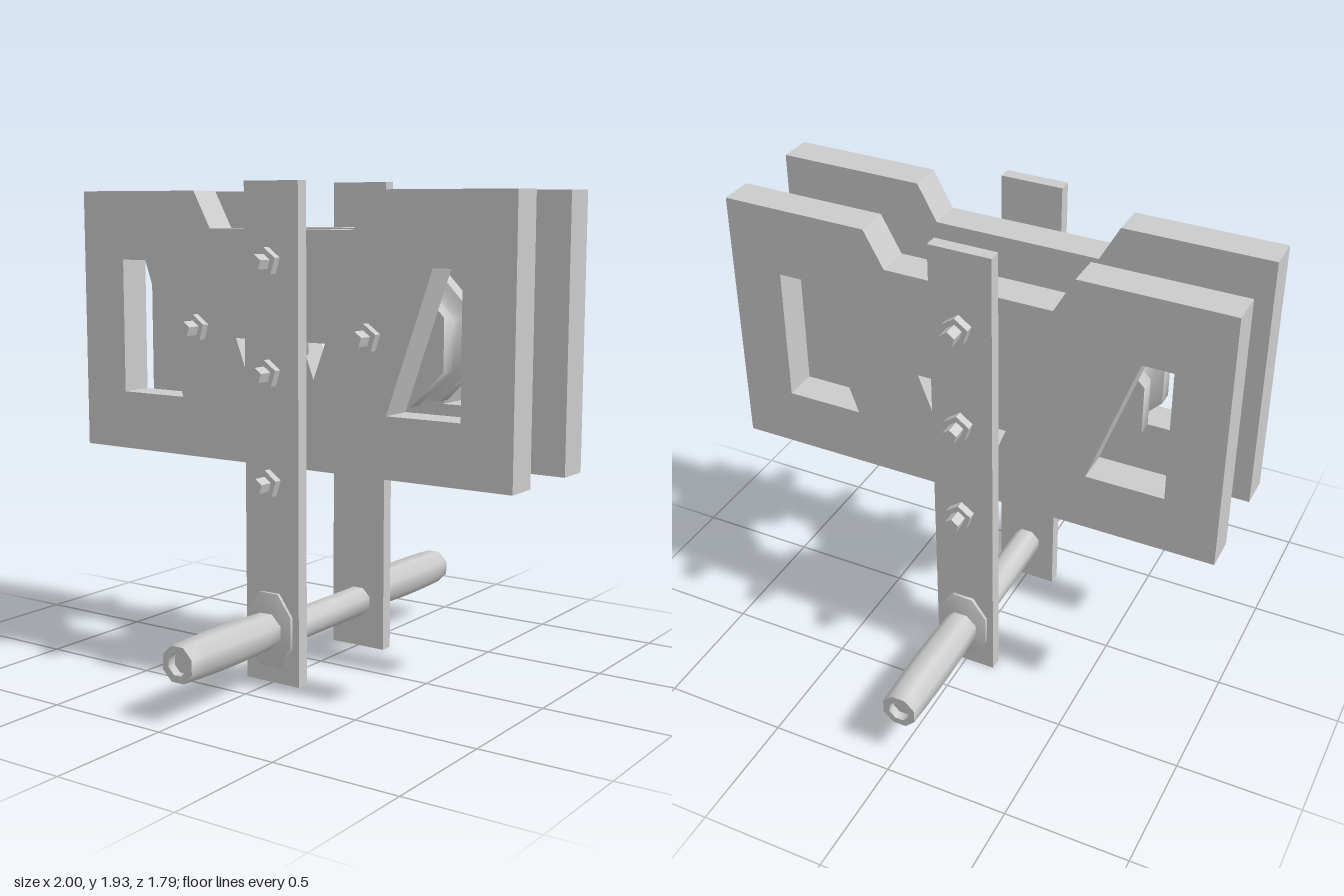
import * as THREE from 'three';
import { toCreasedNormals } from 'three/addons/utils/BufferGeometryUtils.js';

const material = new THREE.MeshStandardMaterial({ color: 0xcccccc });

function part(name, geometry, parent, x = 0, y = 0, z = 0) {
  const mesh = new THREE.Mesh(geometry, material);
  mesh.name = name;
  mesh.position.set(x, y, z);
  parent.add(mesh);
  return mesh;
}

const path = (Type, pts) => new Type(pts.map(([x, y]) => new THREE.Vector2(x, y)));

// Eight-sided turned part along z, flats facing the axes; profile is [apothem, z]
function turned(profile) {
  const k = 1 / Math.cos(Math.PI / 8);
  const pts = profile.map(([r, z]) => new THREE.Vector2(r * k, z));
  const geo = new THREE.LatheGeometry(pts, 8, Math.PI / 8);
  geo.rotateX(Math.PI / 2);
  return toCreasedNormals(geo, 0.9);
}

// Five-sided prism along z with its point upwards
function pentagon(radius, depth) {
  const geo = new THREE.CylinderGeometry(radius, radius, depth, 5, 1, false, Math.PI);
  geo.rotateX(Math.PI / 2);
  return toCreasedNormals(geo, 0.5);
}

// Nut with a protruding shank; z is the inner face
function bolt(parent, x, y, z) {
  const group = new THREE.Group();
  group.name = 'bolt';
  group.position.set(x, y, z);
  part('nut', pentagon(0.055, 0.032), group, 0, 0, 0.016);
  part('shank', pentagon(0.031, 0.09), group, 0, 0, 0.045);
  parent.add(group);
}

// Side plate with top notch, two outer windows and a centre opening
function plateGeometry() {
  const shape = path(THREE.Shape, [
    [-1, 0.845], [1, 0.845], [1, 1.895], [0.415, 1.895],
    [0.335, 1.75], [-0.335, 1.75], [-0.415, 1.895], [-1, 1.895],
  ]);
  for (const s of [-1, 1]) {
    shape.holes.push(path(THREE.Path, [
      [s * 0.79, 1.08], [s * 0.79, 1.62], [s * 0.67, 1.62], [s * 0.48, 1.08],
    ]));
  }
  shape.holes.push(path(THREE.Path, [[-0.21, 1.33], [0.21, 1.33], [0.115, 1.08], [-0.115, 1.08]]));
  return new THREE.ExtrudeGeometry(shape, { depth: 0.135, bevelEnabled: false });
}

function createModel() {
  const model = new THREE.Group();
  model.name = 'pulleyBlock';

  const plate = plateGeometry();
  const strap = new THREE.BoxGeometry(0.25, 1.93, 0.053);

  // Slightly swollen grip with a recessed end
  const grip = turned([
    [0, 0.35], [0.066, 0.35], [0.069, 0.44], [0.072, 0.54], [0.073, 0.63],
    [0.072, 0.73], [0.07, 0.82], [0.067, 0.895], [0.04, 0.895], [0.04, 0.86], [0, 0.86],
  ]);

  // Domed oval guard
  const guard = turned([[0, 0.34], [0.105, 0.34], [0.105, 0.353], [0.06, 0.368], [0, 0.368]]);
  guard.scale(1, 1.38, 1);

  // Front and back halves
  for (const [name, turn] of [['front', 0], ['back', Math.PI]]) {
    const side = new THREE.Group();
    side.name = name + 'Side';
    side.rotation.y = turn;
    part('plate', plate, side, 0, 0, 0.139);
    part('strap', strap, side, 0, 0.965, 0.3005);
    for (const y of [0.79, 1.21, 1.63]) bolt(side, 0, y, 0.341);
    part('guard', guard, side, 0, 0.218, 0);
    part('grip', grip, side, 0, 0.218, 0);
    model.add(side);
  }

  // Grooved pulleys between the plates, with axle bolts on the front only
  const groove = [[0.24, 0.076], [0.218, 0.068], [0.195, 0.055], [0.178, 0.038], [0.167, 0.022]];
  const pulley = turned([
    [0, -0.139], [0.24, -0.139],
    ...groove.map(([r, z]) => [r, -z]),
    ...groove.slice().reverse(),
    [0.24, 0.139], [0, 0.139],
  ]);
  for (const x of [-0.4, 0.4]) {
    part('pulley', pulley, model, x, 1.337, 0);
    bolt(model, x, 1.36, 0.274);
  }

  // Cross rod joining the straps
  part('crossRod', turned([[0, -0.276], [0.057, -0.276], [0.057, 0.276], [0, 0.276]]), model, 0, 0.193, 0);

  return model;
}

export { createModel };
